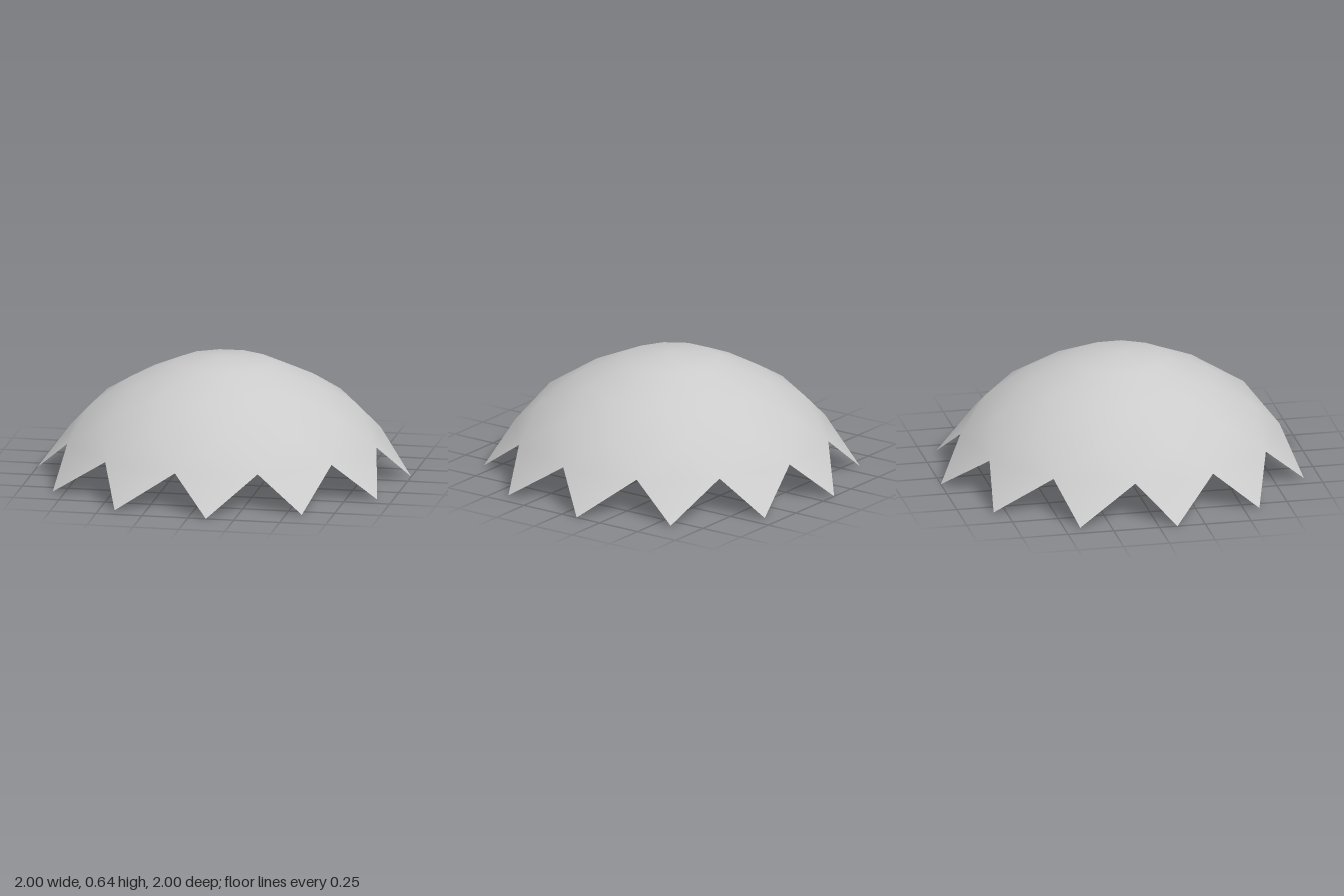
import * as THREE from 'three';

const SIDES = 12;
const TWIST = 17.7; // degrees each ring turns against the one above
const FIRST = 6.7 - 3 * TWIST; // angle of the top ring
// radius and height of each ring, top to bottom; the last holds the tips
const RINGS = [[0.255, 0.613], [0.503, 0.505], [0.718, 0.37], [0.856, 0.203], [1.005, 0]];

export function createModel() {
  const positions = [0, 0.642, 0];
  const indices = [];
  const at = (ring, i) => 1 + ring * SIDES + (i % SIDES);

  // twisted rings of points
  RINGS.forEach(([radius, y], ring) => {
    for (let i = 0; i < SIDES; i++) {
      const a = THREE.MathUtils.degToRad(FIRST + ring * TWIST + (i * 360) / SIDES);
      positions.push(radius * Math.cos(a), y, radius * Math.sin(a));
    }
  });

  // crown fan, triangulated bands, and a jagged open rim
  for (let i = 0; i < SIDES; i++) {
    indices.push(0, at(0, i + 1), at(0, i));
    for (let ring = 0; ring < RINGS.length - 1; ring++) {
      indices.push(at(ring, i), at(ring, i + 1), at(ring + 1, i));
      if (ring < RINGS.length - 2) {
        indices.push(at(ring + 1, i), at(ring, i + 1), at(ring + 1, i + 1));
      }
    }
  }

  const geometry = new THREE.BufferGeometry();
  geometry.setAttribute('position', new THREE.Float32BufferAttribute(positions, 3));
  geometry.setIndex(indices);
  geometry.computeVertexNormals();

  const dome = new THREE.Mesh(
    geometry,
    new THREE.MeshStandardMaterial({ color: 0xcccccc, side: THREE.DoubleSide })
  );
  dome.name = 'jaggedDome';

  const group = new THREE.Group();
  group.name = 'domeShell';
  group.add(dome);
  return group;
}
